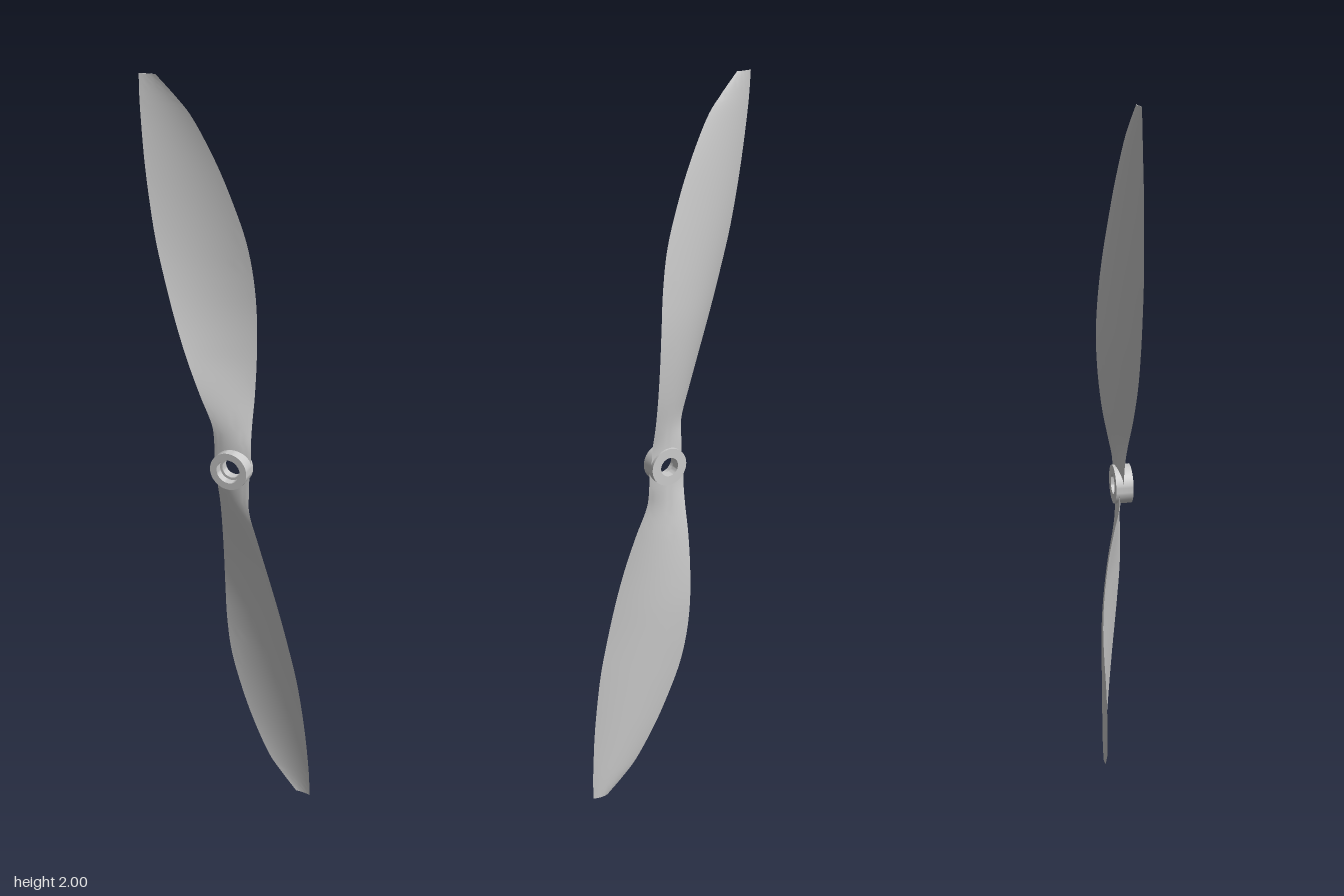
import * as THREE from 'three';
import { toCreasedNormals } from 'three/addons/utils/BufferGeometryUtils.js';

const material = new THREE.MeshStandardMaterial({ color: 0xcccccc });

// Blade stations: [radius, left edge x, left edge z, right edge x, right edge z]
const STATIONS = [
  [0.0, -0.05, 0.014, 0.05, 0.004],
  [0.06, -0.05, 0.016, 0.048, 0.001],
  [0.12, -0.054, 0.023, 0.046, -0.011],
  [0.2, -0.083, 0.031, 0.047, -0.026],
  [0.3, -0.118, 0.036, 0.047, -0.037],
  [0.4, -0.149, 0.036, 0.045, -0.041],
  [0.5, -0.176, 0.034, 0.038, -0.037],
  [0.6, -0.2, 0.031, 0.021, -0.029],
  [0.7, -0.217, 0.027, -0.012, -0.02],
  [0.8, -0.23, 0.023, -0.054, -0.011],
  [0.9, -0.239, 0.018, -0.108, -0.001],
  [0.95, -0.242, 0.016, -0.15, 0.004],
  [1.0, -0.243, 0.014, -0.2, 0.01],
];
const BORE = 0.04; // blade roots wrap round the hub hole

function bladeGeometry() {
  const edge = (ix, iz) => new THREE.CatmullRomCurve3(
    STATIONS.map((s) => new THREE.Vector3(s[ix], s[0], s[iz])), false, 'catmullrom', 0.5);
  const left = edge(1, 2), right = edge(3, 4);
  const rows = 60, half = 14, ring = half * 2;
  const pos = [], index = [];

  for (let i = 0; i <= rows; i++) {
    const a = left.getPoint(i / rows), b = right.getPoint(i / rows);
    const dx = b.x - a.x, dz = b.z - a.z;
    const r = a.y;
    // thick at the root, thin and cambered towards the tip
    const k = THREE.MathUtils.smoothstep(r, 0.04, 0.3);
    const backBulge = THREE.MathUtils.lerp(0.08, 0.09, k);
    const frontBulge = THREE.MathUtils.lerp(-0.06, 0.035, k);
    for (let j = 0; j < ring; j++) {
      const front = j < half;
      const c = front ? j / half : (ring - j) / half;
      const u = (1 - Math.cos(Math.PI * c)) / 2;
      const h = 4 * u * (1 - u) * (front ? frontBulge : backBulge);
      const x = a.x + dx * u + dz * h;
      const z = a.z + dz * u - dx * h;
      const y = Math.max(r, Math.sqrt(Math.max(0, BORE * BORE - x * x)));
      pos.push(x, y, z);
    }
  }
  for (let i = 0; i < rows; i++) {
    for (let j = 0; j < ring; j++) {
      const p = i * ring + j, q = i * ring + (j + 1) % ring;
      index.push(p, q, p + ring, q, q + ring, p + ring);
    }
  }
  // flat tip cap
  const t = rows * ring;
  for (let j = 0; j < half; j++) {
    const f0 = t + j, f1 = t + j + 1;
    const b0 = t + (ring - j) % ring, b1 = t + ring - j - 1;
    if (j > 0) index.push(f0, f1, b0);
    if (j < half - 1) index.push(f1, b1, b0);
  }
  const g = new THREE.BufferGeometry();
  g.setAttribute('position', new THREE.Float32BufferAttribute(pos, 3));
  g.setIndex(index);
  return toCreasedNormals(g, 0.6);
}

// Ring-shaped hub with a stepped bore, axis along z
function hubGeometry() {
  const profile = [
    [0.026, -0.006], [0.052, -0.006], [0.052, 0.04], [0.033, 0.04],
    [0.033, 0.018], [0.026, 0.018], [0.026, -0.006],
  ].map(([r, z]) => new THREE.Vector2(r, z));
  const g = new THREE.LatheGeometry(profile, 48);
  g.rotateX(Math.PI / 2);
  return toCreasedNormals(g, 0.6);
}

export function createModel() {
  const model = new THREE.Group();
  model.name = 'propeller';

  const blade = bladeGeometry();
  ['upperBlade', 'lowerBlade'].forEach((name, i) => {
    const mesh = new THREE.Mesh(blade, material);
    mesh.name = name;
    mesh.position.y = 1;
    mesh.rotation.z = i * Math.PI;
    model.add(mesh);
  });

  const hub = new THREE.Mesh(hubGeometry(), material);
  hub.name = 'hub';
  hub.position.y = 1;
  model.add(hub);

  return model;
}
